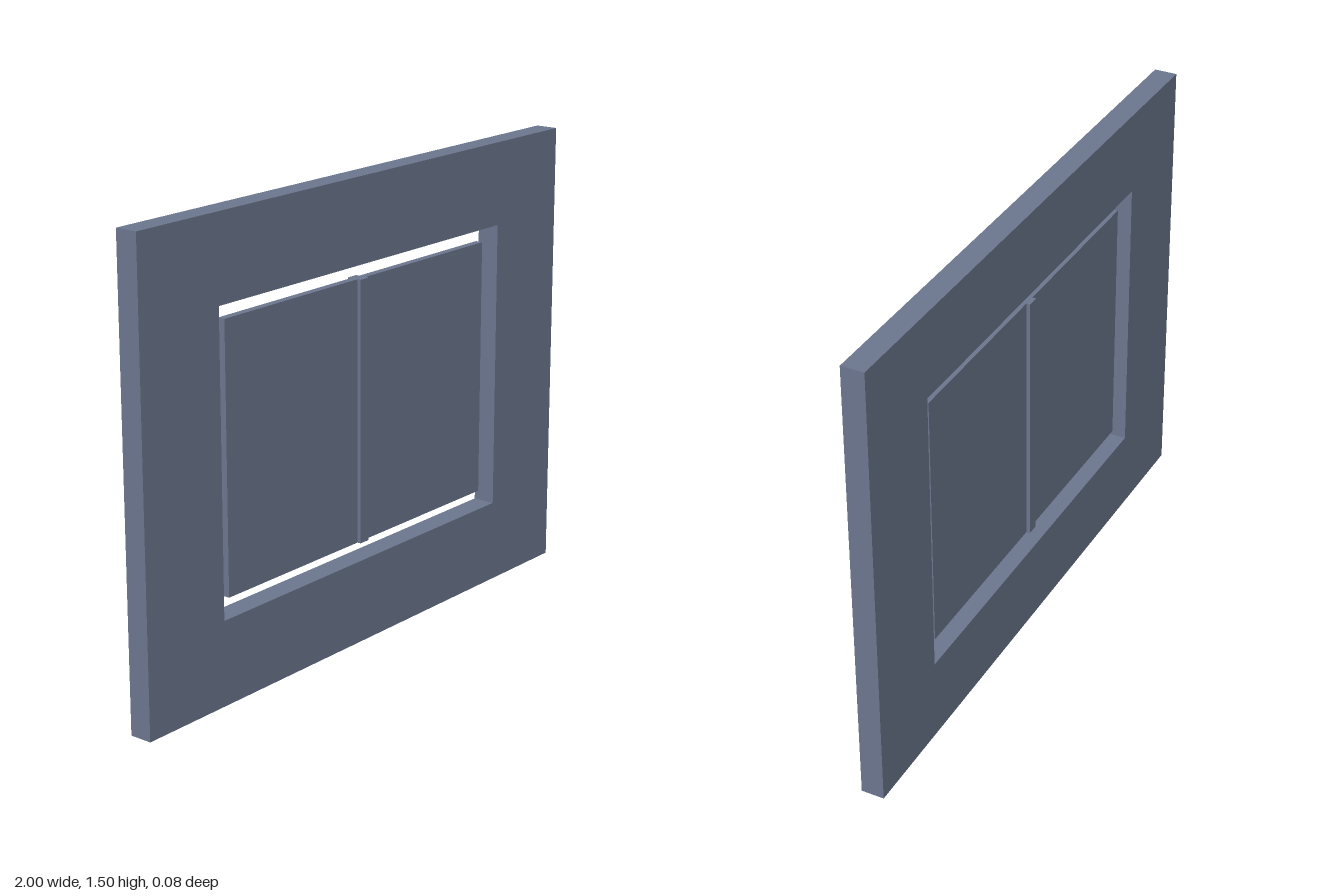
import * as THREE from 'three';

export function createModel() {
  const model = new THREE.Group();
  model.name = 'framedWindow';
  const slate = new THREE.MeshStandardMaterial({ color: 0x6b768e });
  slate.name = 'slate blue';

  const midY = 0.75;
  const rect = (target, w, h) => {
    target.moveTo(-w / 2, -h / 2);
    target.lineTo(w / 2, -h / 2);
    target.lineTo(w / 2, h / 2);
    target.lineTo(-w / 2, h / 2);
    target.closePath();
    return target;
  };
  const add = (name, geometry, x = 0) => {
    const mesh = new THREE.Mesh(geometry, slate);
    mesh.name = name;
    mesh.position.set(x, midY, 0);
    model.add(mesh);
  };

  // Wall slab with a rectangular opening
  const wallDepth = 0.075;
  const outline = rect(new THREE.Shape(), 2, 1.5);
  outline.holes.push(rect(new THREE.Path(), 1.35, 0.955));
  const wall = new THREE.ExtrudeGeometry(outline, { depth: wallDepth, bevelEnabled: false });
  wall.translate(0, 0, -wallDepth / 2);
  add('wall', wall);

  // Two thin panes meeting the centre post
  const paneHalf = 0.625, postWidth = 0.04, height = 0.852;
  const paneWidth = paneHalf - postWidth / 2;
  for (const [name, side] of [['leftPane', 1], ['rightPane', -1]]) {
    add(name, new THREE.BoxGeometry(paneWidth, height, 0.025), side * (postWidth + paneWidth) / 2);
  }

  // Centre post, proud of the panes on both faces
  add('centrePost', new THREE.BoxGeometry(postWidth, height, 0.05));

  return model;
}
